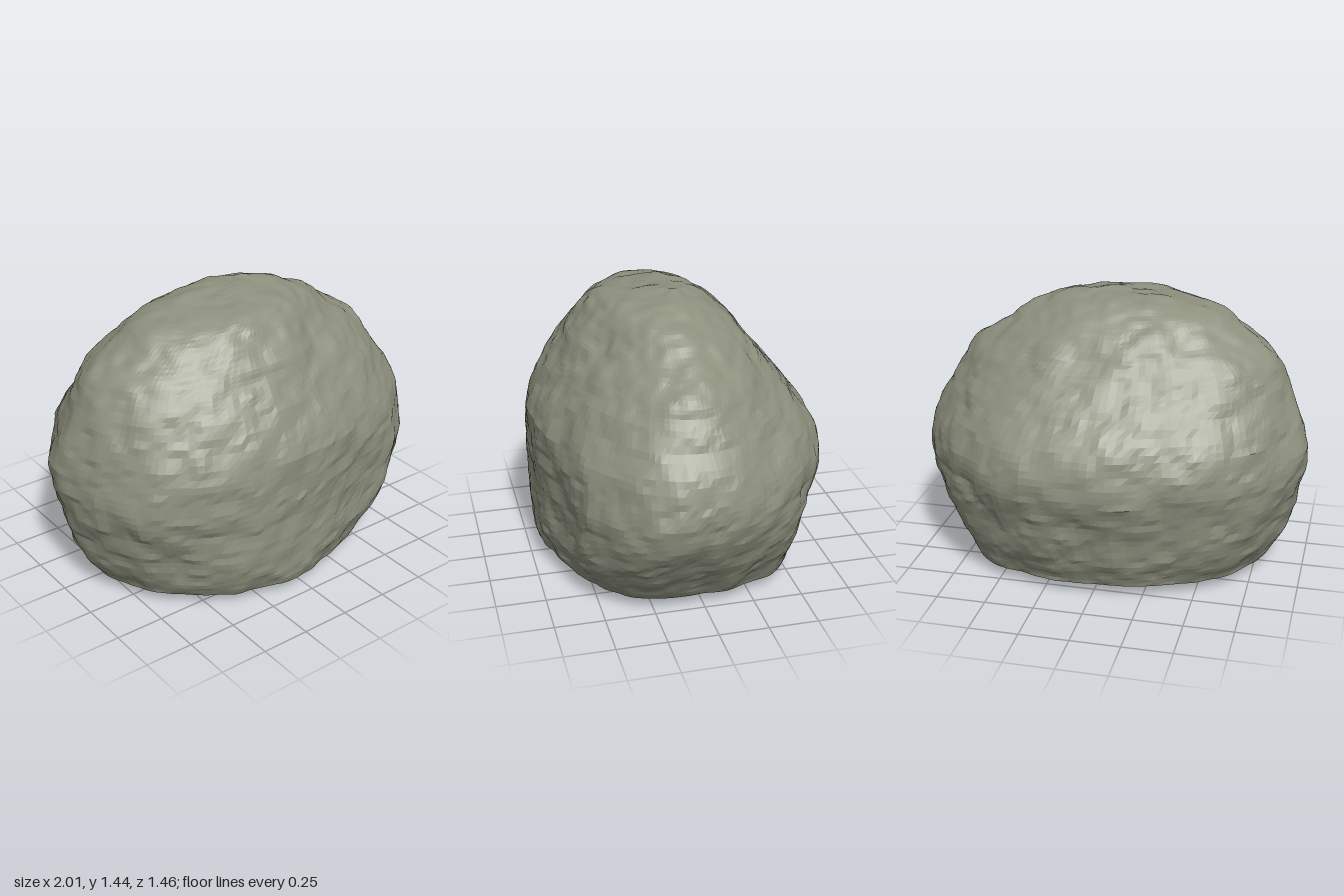
import * as THREE from 'three';

const COLS = 150, ROWS = 68;

// Height sections: y, left x, right x, back z, front z
const SECTIONS = [
  [0.06, -0.80, 0.73, -0.55, 0.70],
  [0.20, -0.89, 0.82, -0.61, 0.73],
  [0.40, -0.96, 0.94, -0.665, 0.72],
  [0.60, -0.995, 0.995, -0.72, 0.725],
  [0.80, -0.95, 0.955, -0.67, 0.715],
  [1.00, -0.87, 0.84, -0.51, 0.615],
  [1.12, -0.81, 0.76, -0.42, 0.54],
  [1.22, -0.69, 0.60, -0.35, 0.47],
  [1.32, -0.55, 0.47, -0.25, 0.39],
  [1.38, -0.36, 0.33, -0.17, 0.32],
  [1.41, -0.18, 0.22, -0.09, 0.15],
  [1.44, 0.10, 0.10, 0.00, 0.00],
];
// Plan outlines by height: radius factor every 22.5 degrees, from +x towards +z
const OUTLINES = [
  [0.06, [0.99, 1.03, 0.99, 0.94, 0.99, 0.98, 0.96, 0.99, 1.02, 1.02, 1.02, 0.98, 1.00, 1.07, 1.14, 1.04]],
  [0.28, [1.00, 1.06, 1.05, 0.97, 0.995, 1.01, 0.99, 0.98, 1.00, 0.98, 1.00, 0.97, 1.00, 1.05, 1.09, 1.03]],
  [0.55, [1.00, 1.055, 1.055, 0.97, 0.995, 1.03, 1.04, 0.99, 1.00, 0.965, 0.975, 0.96, 1.01, 1.035, 0.99, 0.97]],
  [1.10, [1.00, 0.97, 0.93, 0.95, 1.00, 1.03, 1.02, 1.00, 1.00, 1.00, 1.00, 0.97, 1.00, 1.02, 1.00, 0.98]],
];
// Broad dents (negative) and bulges: x, y, z, radius, amount
const DENTS = [
  [0.27, 1.18, 0.42, 0.11, -0.02],
  [0.12, 1.25, 0.42, 0.11, 0.01],
  [0.42, 0.40, 0.66, 0.14, -0.01],
  [0.75, 0.85, -0.32, 0.13, -0.025],
  [-0.70, 0.25, 0.50, 0.14, -0.015],
  [-0.85, 0.50, 0.35, 0.14, 0.015],
  [0.70, 1.13, 0.00, 0.09, 0.02],
];

// Smooth seeded value noise
const hash = (x, y, z) => {
  let h = Math.imul(x, 374761393) ^ Math.imul(y, 668265263) ^ Math.imul(z, 873357469);
  h = Math.imul(h ^ (h >>> 13), 1274126177);
  h = Math.imul(h ^ (h >>> 15), 2246822519);
  return ((h ^ (h >>> 16)) >>> 0) / 2147483648 - 1;
};
const { lerp, smoothstep, clamp } = THREE.MathUtils;
function noise(x, y, z) {
  const i = [x, y, z].map(Math.floor);
  const [u, v, w] = [x - i[0], y - i[1], z - i[2]].map((t) => t * t * (3 - 2 * t));
  const row = (b, c) => lerp(hash(i[0], i[1] + b, i[2] + c), hash(i[0] + 1, i[1] + b, i[2] + c), u);
  return lerp(lerp(row(0, 0), row(1, 0), v), lerp(row(0, 1), row(1, 1), v), w);
}

// Radius factor at turn t (0 to 1) and height y
function outlineAt(t, y) {
  const f = t * 16, i = Math.floor(f), s = smoothstep(f - i, 0, 1);
  const at = (o) => lerp(o[1][i % 16], o[1][(i + 1) % 16], s);
  const next = OUTLINES.findIndex((o) => y < o[0]);
  const n = next < 0 ? OUTLINES.length - 1 : Math.max(next, 1);
  const a = OUTLINES[n - 1], b = OUTLINES[n];
  return lerp(at(a), at(b), clamp((y - a[0]) / (b[0] - a[0]), 0, 1));
}

// Push a surface point in or out from the core, only sideways near the rim
function weather(p) {
  let d = 0.007 * noise(p.x * 4 + 9, p.y * 4, p.z * 4)
    + 0.011 * noise(p.x * 8, p.y * 9 + 5, p.z * 8)
    + 0.008 * noise(p.x * 16, p.y * 22, p.z * 16 + 3);
  for (const [x, y, z, r, a] of DENTS) {
    d += a * Math.exp(-((p.x - x) ** 2 + (p.y - y) ** 2 + (p.z - z) ** 2) / (r * r));
  }
  const rise = (p.y - 0.65) * 0.8 * smoothstep(p.y, 0.1, 0.4);
  return p.addScaledVector(new THREE.Vector3(p.x, rise, p.z).normalize(), d);
}

// Closed rings of points joined by quads
function loft(rings) {
  const pos = rings.flat().flatMap((p) => [p.x, p.y, p.z]);
  const index = [];
  for (let r = 0; r < rings.length - 1; r++) {
    for (let c = 0; c < COLS; c++) {
      const a = r * COLS + c, b = r * COLS + (c + 1) % COLS;
      index.push(a, a + COLS, b, b, a + COLS, b + COLS);
    }
  }
  const g = new THREE.BufferGeometry();
  g.setAttribute('position', new THREE.Float32BufferAttribute(pos, 3));
  g.setIndex(index);
  g.computeVertexNormals();
  return g;
}

export function createModel() {
  const stone = new THREE.MeshStandardMaterial({ color: 0x8f917f, flatShading: true });
  stone.name = 'grey green stone';

  const curve = (fn) => new THREE.CatmullRomCurve3(SECTIONS.map(fn), false, 'catmullrom', 0.5);
  const widths = curve(([y, l, r]) => new THREE.Vector3(l, r, y));
  const depths = curve(([, , , b, f]) => new THREE.Vector3(b, f, 0));

  // Boulder sides and top
  const rings = [];
  for (let r = 0; r <= ROWS; r++) {
    const w = widths.getPoint(r / ROWS), d = depths.getPoint(r / ROWS);
    const ring = [];
    for (let c = 0; c < COLS; c++) {
      const t = c / COLS, a = t * Math.PI * 2, k = outlineAt(t, w.z);
      ring.push(weather(new THREE.Vector3(
        (w.x + w.y) / 2 + Math.cos(a) * k * (w.y - w.x) / 2,
        w.z,
        (d.x + d.y) / 2 + Math.sin(a) * k * (d.y - d.x) / 2,
      )));
    }
    rings.push(ring);
  }

  // Shallow domed underside, from the centre out to the bottom rim
  const under = [0, 0.2, 0.4, 0.6, 0.8, 0.93, 1].map((s) =>
    rings[0].map((p) => new THREE.Vector3(p.x * s, p.y * s ** 1.5, p.z * s)));

  const group = new THREE.Group();
  group.name = 'rock';
  for (const [name, part] of [['boulder', rings], ['underside', under]]) {
    const mesh = new THREE.Mesh(loft(part), stone);
    mesh.name = name;
    group.add(mesh);
  }
  return group;
}
